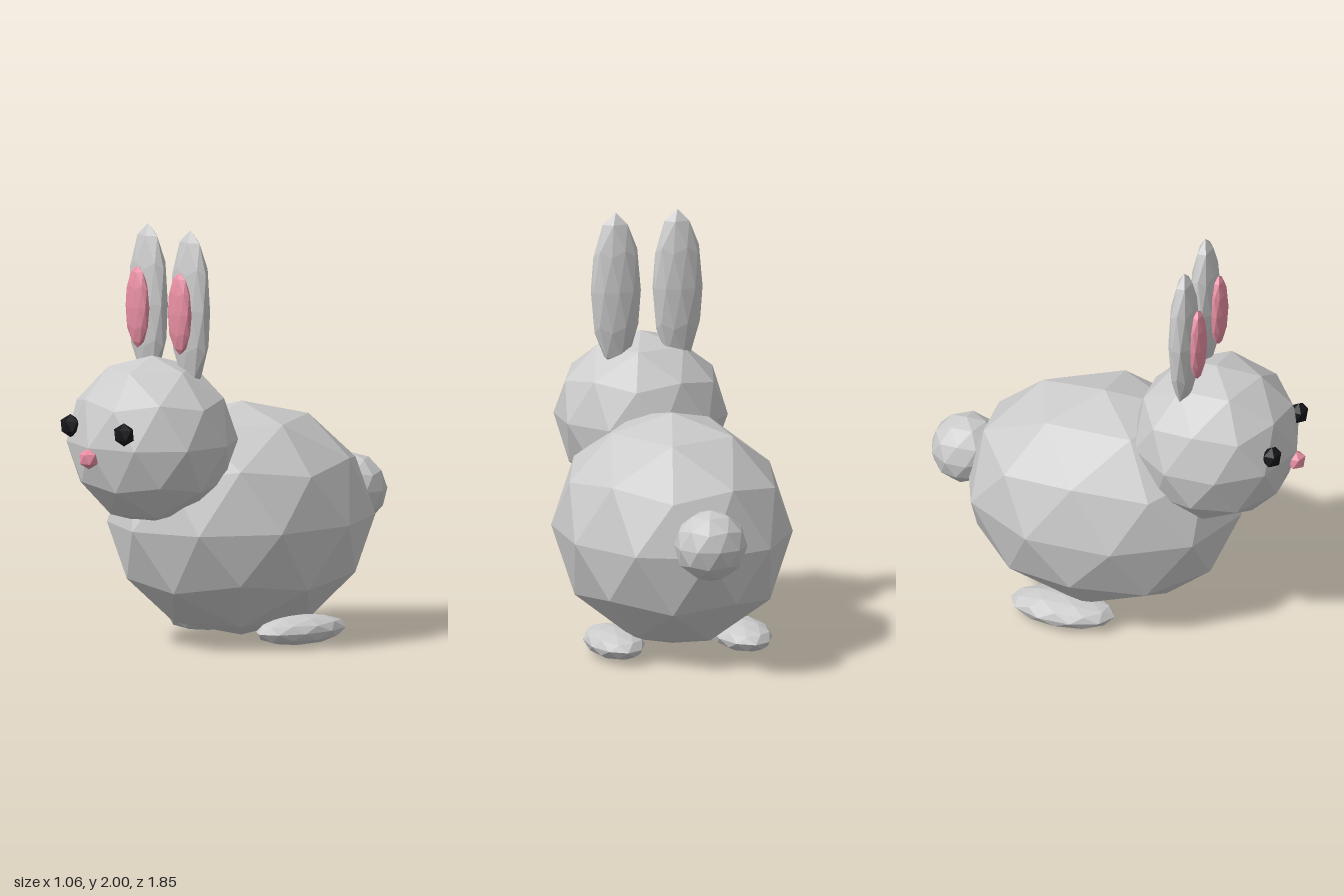
import * as THREE from 'three';

const mat = (color) => new THREE.MeshStandardMaterial({ color, flatShading: true });

export function createModel() {
  const model = new THREE.Group();
  model.name = 'rabbit';
  const grey = mat(0xcccccc), pink = mat(0xe88fa3), black = mat(0x15151a);

  // Faceted ellipsoid: an icosphere with a corner at the top and one leaning to +x
  function blob(name, position, radii, material = grey, detail = 1) {
    const geometry = new THREE.IcosahedronGeometry(1, detail);
    geometry.rotateZ(-Math.atan(2 / (1 + Math.sqrt(5))));
    geometry.scale(...radii);
    const mesh = new THREE.Mesh(geometry, material);
    mesh.name = name;
    mesh.position.set(...position);
    model.add(mesh);
    return mesh;
  }

  // Body, head and tail
  blob('body', [0, 0.575, -0.07], [0.557, 0.555, 0.68]);
  blob('head', [0, 1.0, 0.485], [0.41, 0.4, 0.4]);
  blob('tail', [0, 0.645, -0.755], [0.173, 0.17, 0.17]);
  blob('nose', [0, 0.95, 0.88], [0.05, 0.05, 0.05], pink, 0);

  // Paired parts
  for (const [side, s] of [['left', 1], ['right', -1]]) {
    blob(side + 'Ear', [s * 0.15, 1.625, 0.378], [0.122, 0.375, 0.067]);
    blob(side + 'InnerEar', [s * 0.15, 1.61, 0.445], [0.074, 0.195, 0.04], pink);
    blob(side + 'Eye', [s * 0.19, 1.08, 0.828], [0.057, 0.055, 0.048], black, 0);
    blob(side + 'Foot', [s * 0.31, 0.07, -0.17], [0.136, 0.07, 0.258]);
  }

  return model;
}
